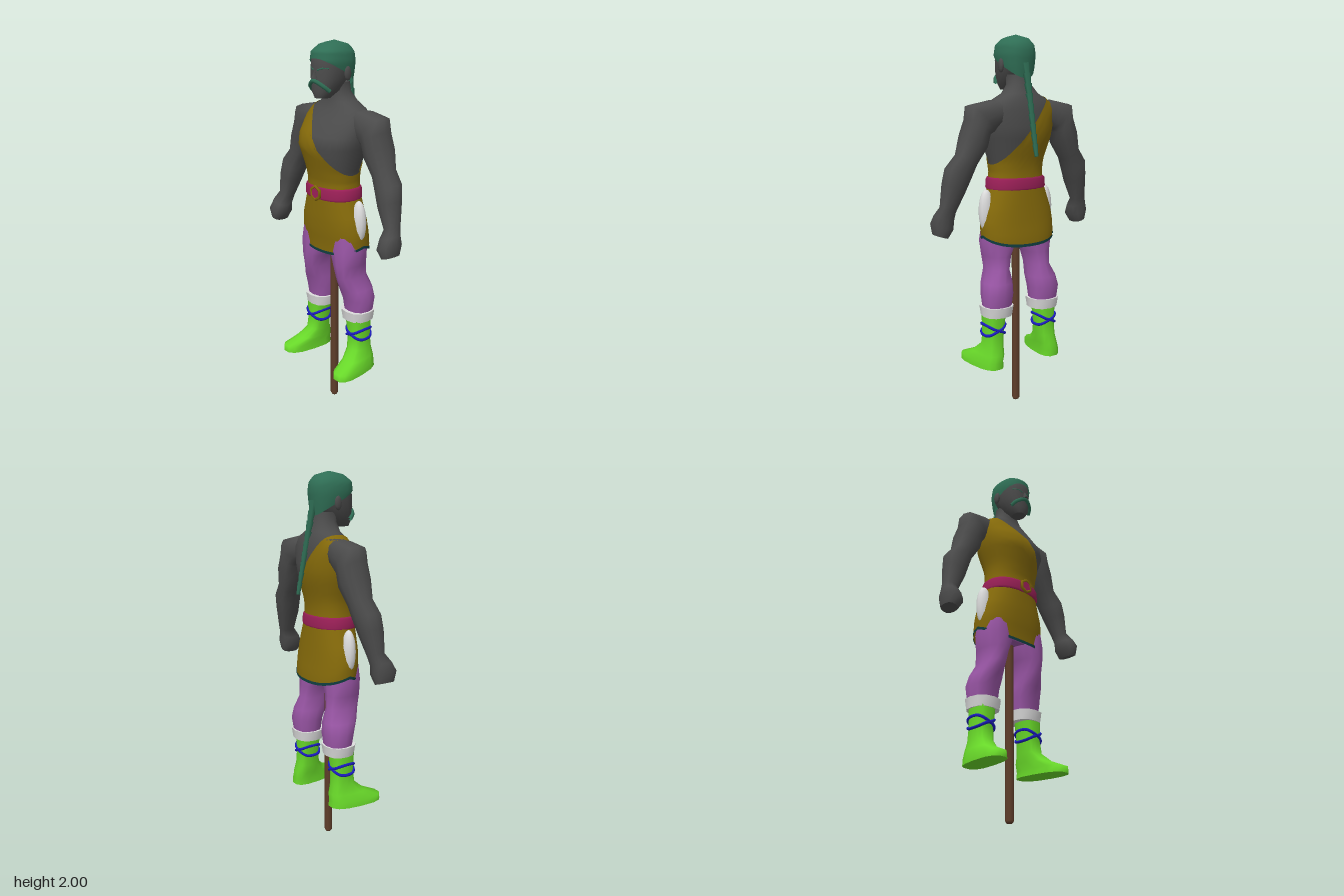
import * as THREE from 'three';

const mat = (name, color, side = THREE.FrontSide) => {
  const m = new THREE.MeshStandardMaterial({ color, side });
  m.name = name;
  return m;
};

// Point on a ring [x, y, z, rx, rz, tilt, shear]; p squares off the ellipse
function ringPoint([x, y, z, rx, rz, tilt = 0, shear = 0], a, p) {
  const f = v => Math.sign(v) * Math.abs(v) ** (2 / p);
  const u = rx * f(Math.cos(a)), w = rz * f(Math.sin(a));
  return [x + u * Math.cos(tilt) + shear * w, y + u * Math.sin(tilt), z + w];
}

// Closed tube of m rows and n columns, with optional flat end caps
function gridGeometry(point, m, n, caps) {
  const pos = [], idx = [];
  for (let i = 0; i < m; i++) for (let j = 0; j < n; j++) pos.push(...point(i, (j / n) * Math.PI * 2));
  for (let i = 0; i < m - 1; i++) for (let j = 0; j < n; j++) {
    const k = (j + 1) % n, a = i * n + j, b = i * n + k;
    idx.push(a, a + n, b, b, a + n, b + n);
  }
  if (caps) for (const i of [0, m - 1]) {
    const start = pos.length / 3, c = [0, 0, 0];
    for (let j = 0; j < n; j++) {
      const q = point(i, (j / n) * Math.PI * 2);
      pos.push(...q);
      q.forEach((v, d) => { c[d] += v / n; });
    }
    pos.push(...c);
    for (let j = 0; j < n; j++) {
      const a = start + j, b = start + (j + 1) % n;
      if (i === 0) idx.push(a, b, start + n); else idx.push(b, a, start + n);
    }
  }
  const g = new THREE.BufferGeometry();
  g.setAttribute('position', new THREE.Float32BufferAttribute(pos, 3));
  g.setIndex(idx);
  g.computeVertexNormals();
  return g;
}

// Loft through rings listed from bottom to top; s mirrors it in x
function loft(rings, n = 14, p = 2.3, s = 1) {
  const r = rings.map(([x, y, z, rx, rz, t = 0, sh = 0]) => [x * s, y, z, rx, rz, t * s, sh * s]);
  return gridGeometry((i, a) => ringPoint(r[i], a, p), r.length, n, true);
}

// Ring of an upright loft at any height, grown by a margin
function ringAt(rings, y, grow) {
  let i = 0;
  while (i < rings.length - 2 && rings[i + 1][1] < y) i++;
  const A = rings[i], B = rings[i + 1];
  const t = THREE.MathUtils.clamp((y - A[1]) / (B[1] - A[1]), 0, 1);
  const r = A.map((v, k) => v + (B[k] - v) * t);
  return [r[0], y, r[2], r[3] + grow, r[4] + grow];
}

// Open shell over an upright loft between two edges that vary with angle
function shell(rings, low, high, grow, rows = 12, n = 32, p = 2.3) {
  return gridGeometry((i, a) => {
    const lo = low(a), y = lo + (high(a) - lo) * i / (rows - 1);
    return ringPoint(ringAt(rings, y, grow), a, p);
  }, rows, n, false);
}

const torsoRings = [
  [0, 1.18, .01, .155, .108], [0, 1.3, .012, .143, .105], [0, 1.36, .015, .148, .115],
  [0, 1.48, .015, .188, .148], [0, 1.54, .005, .197, .143], [0, 1.62, -.02, .197, .11],
  [0, 1.67, -.03, .165, .09], [0, 1.705, -.028, .1, .075], [0, 1.75, -.02, .062, .062],
  [0, 1.8, -.01, .062, .062]];
const skirtRings = [
  [0, .9, -.01, .2, .118], [0, .96, -.008, .213, .118], [0, 1.03, 0, .215, .118],
  [0, 1.1, .005, .203, .117], [0, 1.23, .01, .158, .112]];
const headRings = [
  [0, 1.725, .085, .035, .04], [0, 1.76, .065, .062, .07], [0, 1.82, .04, .083, .093],
  [0, 1.88, .025, .089, .107], [0, 1.94, .02, .085, .105], [0, 1.98, .015, .055, .07]];
const hairRings = [
  [0, 1.77, -.01, .07, .075], [0, 1.84, .01, .09, .104], [0, 1.9, .018, .098, .118],
  [0, 1.95, .018, .09, .112], [0, 1.985, .012, .058, .072], [0, 2, .008, .004, .004]];
const armRings = [
  [.445, .99, .035, .035, .05, .3], [.435, 1.04, .035, .055, .065, .3], [.428, 1.085, .025, .05, .052, .3],
  [.418, 1.13, 0, .04, .042, .4], [.388, 1.24, -.01, .06, .06, .4], [.368, 1.31, -.02, .068, .066, .45],
  [.325, 1.38, -.03, .056, .062, .5], [.285, 1.47, -.035, .072, .08, .45], [.262, 1.54, -.035, .07, .08, .6],
  [.245, 1.58, -.035, .096, .08, .8], [.18, 1.6, -.035, .073, .075, 1.4], [.12, 1.61, -.035, .06, .06, 1.57]];
const legRings = [
  [.15, .58, -.035, .075, .07], [.15, .66, -.035, .084, .082], [.142, .72, -.02, .078, .09],
  [.13, .79, .003, .056, .092], [.125, .86, .01, .07, .094], [.115, .94, .01, .095, .095],
  [.11, 1.02, .01, .085, .09]];
const bootRings = [
  [.2, .255, .042, .066, .147, 0, .12], [.2, .29, .042, .064, .145, 0, .12], [.185, .327, 0, .058, .1, 0, .1],
  [.172, .375, -.02, .052, .066], [.168, .44, -.022, .052, .06], [.163, .55, -.022, .06, .065]];

export function createModel() {
  const model = new THREE.Group();
  model.name = 'warrior';
  const skin = mat('skin grey', 0x4b4b4b);
  const cloth = mat('mustard cloth', 0x856a0a, THREE.DoubleSide);
  const hair = mat('green hair', 0x2f6e55, THREE.DoubleSide);
  const sash = mat('magenta belt', 0x9c2058);
  const purple = mat('purple trousers', 0x9a56a6);
  const white = mat('white', 0xdcdcdc);
  const lime = mat('lime boots', 0x68d829);
  const blue = mat('blue lacing', 0x1c1cc4);
  const wood = mat('brown wood', 0x5f3e2a);
  const trim = mat('dark teal trim', 0x113f42, THREE.DoubleSide);

  const add = (name, geometry, material, x = 0, y = 0, z = 0) => {
    const m = new THREE.Mesh(geometry, material);
    m.name = name;
    m.position.set(x, y, z);
    model.add(m);
    return m;
  };
  const tube = (pts, r, closed = false, seg = 16) => new THREE.TubeGeometry(
    new THREE.CatmullRomCurve3(pts.map(q => new THREE.Vector3(...q)), closed), seg, r, 5, closed);

  // Torso with a one-shouldered tunic cut along a slanting plane
  add('torso', loft(torsoRings, 32), skin);
  const neckline = a => {
    let lo = 1.2, hi = 1.75;
    for (let k = 0; k < 25; k++) {
      const y = (lo + hi) / 2, x = ringPoint(ringAt(torsoRings, y, .006), a, 2.3)[0];
      if (y < 1.53 - 1.23 * x) lo = y; else hi = y;
    }
    return lo;
  };
  add('tunic', shell(torsoRings, () => 1.2, neckline, .006, 18), cloth);

  // Skirt with a curved hem
  const hem = a => .965 - .048 * Math.abs(Math.sin(a));
  add('skirt', shell(skirtRings, hem, () => 1.23, 0), cloth);
  add('skirtTrim', shell(skirtRings, a => hem(a) - .003, a => hem(a) + .012, .003, 2), trim);
  add('hips', loft([[0, .93, 0, .1, .08], [0, .98, 0, .18, .1], [0, 1.1, .005, .17, .1]]), purple);

  // Belt and six-sided buckle
  add('belt', loft([[0, 1.21, .012, .162, .115], [0, 1.22, .012, .168, .12],
    [0, 1.265, .012, .164, .118], [0, 1.275, .012, .156, .112]], 24), sash);
  add('buckleRing', new THREE.TorusGeometry(.035, .009, 5, 6), cloth, 0, 1.243, .137).rotation.z = Math.PI / 6;
  add('buckleCentre', new THREE.CylinderGeometry(.03, .03, .02, 6), sash, 0, 1.243, .132).rotation.x = Math.PI / 2;

  // Head, face and hair
  add('head', loft(headRings, 20), skin);
  const nose = add('nose', new THREE.ConeGeometry(.019, .05, 4), skin, 0, 1.845, .136);
  nose.rotation.x = -.2;
  add('hairCap', shell(hairRings, a => 1.85 + .068 * Math.sin(a), () => 2, 0, 12, 20), hair);
  add('moustache', tube([[-.068, 1.762, .095], [-.05, 1.787, .122], [0, 1.812, .142],
    [.05, 1.787, .122], [.068, 1.762, .095]], .011), hair);

  // Braid of overlapping tapered segments
  const braid = 9;
  for (let i = 0; i < braid; i++) {
    const t = (i + .5) / braid, r = .023 - .009 * t;
    const seg = add('braidSegment', new THREE.CylinderGeometry(r, r * .65, .062, 6), hair,
      0, 1.85 - .455 * t, -.085 - .095 * t);
    seg.rotation.x = .21;
  }

  // Paired parts
  for (const s of [1, -1]) {
    const side = s > 0 ? 'left' : 'right';
    add(side + 'Arm', loft(armRings, 12, 2.5, s), skin);
    add(side + 'Ear', new THREE.SphereGeometry(1, 8, 6), skin, s * .094, 1.845, .002).scale.set(.012, .036, .022);
    add(side + 'Brow', tube([[s * .014, 1.862, .13], [s * .04, 1.872, .122], [s * .066, 1.872, .1]], .004, false, 6), hair);
    add(side + 'SlitLining', new THREE.SphereGeometry(1, 12, 10), white, s * .187, 1.1, .005).scale.set(.043, .115, .035);
    add(side + 'Leg', loft(legRings, 12, 2.4, s), purple);
    add(side + 'Cuff', loft([[.15, .54, -.03, .08, .079], [.15, .595, -.03, .088, .087]], 12, 2.4, s), white);
    add(side + 'Boot', loft(bootRings, 14, 2.7, s), lime);
    // Two tilted laces that cross at front and back
    for (const d of [1, -1]) {
      const pts = [];
      for (let k = 0; k < 16; k++) {
        const a = k * Math.PI / 8, y = .465 + d * .03 * Math.cos(a);
        const q = ringPoint([s * .167, y, -.022, .056, .063], a, 2.7);
        pts.push(q);
      }
      add(side + 'Lace', tube(pts, .008, true, 32), blue);
    }
  }

  // Supporting pole
  add('pole', new THREE.LatheGeometry([[0, 0], [.015, .003], [.022, .015], [.022, 1.05], [0, 1.05]]
    .map(q => new THREE.Vector2(...q)), 8), wood, 0, 0, .008);
  return model;
}
